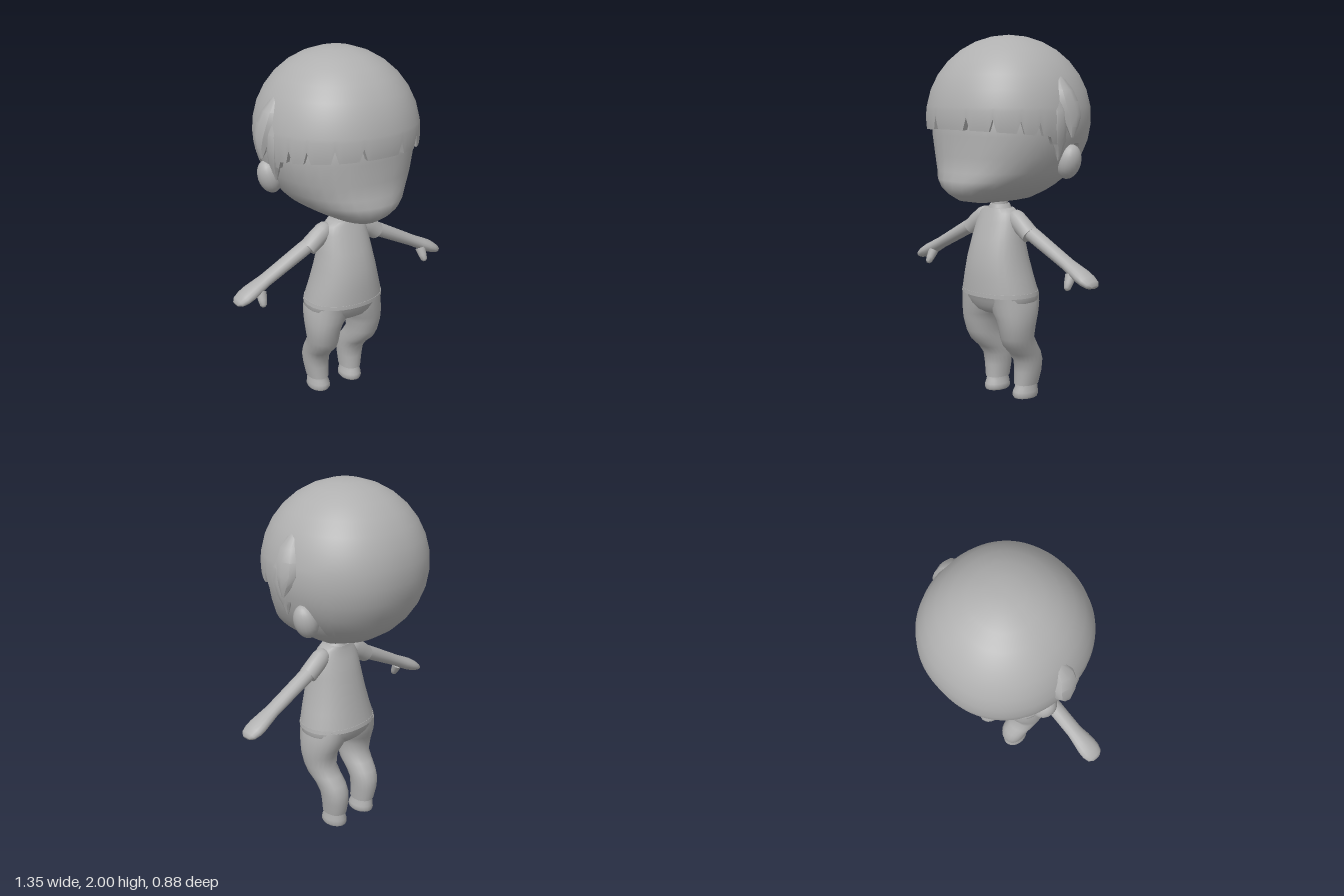
import * as THREE from 'three';
import { toCreasedNormals, mergeVertices } from 'three/addons/utils/BufferGeometryUtils.js';

// signed power: below 1 it squares off a circle slightly
const spow = (v, p) => Math.sign(v) * Math.abs(v) ** p;

// closed skin of rows x seg points, rows running upwards, with a fan at both ends
function skin(rows, seg, point) {
  const pos = [], idx = [];
  for (let i = 0; i < rows; i++)
    for (let j = 0; j < seg; j++) pos.push(...point(i, (j / seg) * Math.PI * 2));
  const at = (i, j) => i * seg + (j % seg);
  for (let i = 0; i < rows - 1; i++)
    for (let j = 0; j < seg; j++) {
      const a = at(i, j), b = at(i, j + 1), c = at(i + 1, j), d = at(i + 1, j + 1);
      idx.push(a, c, b, b, c, d);
    }
  for (const row of [0, rows - 1]) {
    const mid = [0, 0, 0];
    for (let j = 0; j < seg; j++)
      for (let k = 0; k < 3; k++) mid[k] += pos[at(row, j) * 3 + k] / seg;
    const m = pos.length / 3;
    pos.push(...mid);
    for (let j = 0; j < seg; j++) {
      if (row === 0) idx.push(m, at(row, j), at(row, j + 1));
      else idx.push(m, at(row, j + 1), at(row, j));
    }
  }
  const g = new THREE.BufferGeometry();
  g.setAttribute('position', new THREE.Float32BufferAttribute(pos, 3));
  g.setIndex(idx);
  return g;
}

// oval sections [y, x0, x1, z0, z1]
const loft = (secs, seg = 20, p = 1) => skin(secs.length, seg, (i, t) => {
  const [y, x0, x1, z0, z1] = secs[i];
  return [
    (x0 + x1) / 2 + (x1 - x0) / 2 * spow(Math.cos(t), p), y,
    (z0 + z1) / 2 + (z1 - z0) / 2 * spow(Math.sin(t), p),
  ];
});

// limb sections [distance, thickness radius, z radius] laid from a start point downwards and outwards
function limb(secs, x, y, z, angle) {
  const g = loft(secs.map(([d, r, rz]) => [d, -r, r, -rz, rz]), 16);
  return g.rotateZ(angle).translate(x, y, z);
}

function mirrored(geo) {
  const g = geo.clone().scale(-1, 1, 1);
  const a = g.index.array;
  for (let i = 0; i < a.length; i += 3) [a[i], a[i + 1]] = [a[i + 1], a[i]];
  return g;
}

export function createModel() {
  const root = new THREE.Group();
  root.name = 'figure';
  const grey = new THREE.MeshStandardMaterial({ color: 0xb0b0b0 });
  grey.name = 'plain grey';

  const add = (name, geo, crease = 0.9) => {
    const mesh = new THREE.Mesh(toCreasedNormals(geo, crease), grey);
    mesh.name = name;
    root.add(mesh);
  };
  const pair = (name, geo, crease) => {
    add('left' + name, geo, crease);
    add('right' + name, mirrored(geo), crease);
  };

  // head: [y, half width, front z, back z]
  const headRows = [
    [1.107, 0.06, 0.24, 0.03], [1.125, 0.14, 0.345, 0.08], [1.16, 0.205, 0.395, 0.18],
    [1.195, 0.26, 0.42, 0.235], [1.235, 0.302, 0.422, 0.285], [1.28, 0.335, 0.405, 0.33],
    [1.36, 0.372, 0.398, 0.38], [1.47, 0.4, 0.398, 0.415], [1.6, 0.4, 0.395, 0.41], [1.72, 0.33, 0.33, 0.33],
  ];
  add('head', skin(headRows.length, 32, (i, t) => {
    const [y, w, f, b] = headRows[i], s = Math.sin(t), p = s > 0 ? 0.87 : 0.93;
    return [w * spow(Math.cos(t), p), y, (s > 0 ? f : b) * spow(s, p)];
  }), 1.2);

  // hair: a ball cut to a notched fringe in front, open round the ears, full at the back
  const R = 0.442, CY = 1.558, crown = Math.acos((1.62 - CY) / R);
  const hairline = (t) => {
    let a = Math.abs(t - Math.PI / 2);
    if (a > Math.PI) a = Math.PI * 2 - a;
    if (a > 1.35) return 1.43 - 0.3 * THREE.MathUtils.smoothstep(a, 1.8, 2.2);
    const notch = [0.25, 0.57, 0.92, 1.18].some((n) => Math.abs(a - n) < 0.0246);
    return 1.505 - 0.035 * (a / 1.35) ** 2 + (notch ? 0.065 : 0);
  };
  add('hair', skin(16, 128, (i, t) => {
    const low = Math.acos((hairline(t) - CY) / R);
    const phi = i < 8
      ? THREE.MathUtils.lerp(low, crown, Math.max(0, i - 1) / 7)
      : THREE.MathUtils.lerp(crown, 0.01, (i - 8) / 7);
    const r = R * Math.sin(phi) * (i === 0 ? 0.9 : 1);
    return [r * 0.985 * spow(Math.cos(t), 0.93), CY + R * Math.cos(phi), r * spow(Math.sin(t), 0.93)];
  }), 1.0);

  // pointed side locks in front of the ears
  pair('FrontLock', loft([
    [1.345, 0.385, 0.393, 0.026, 0.034], [1.4, 0.37, 0.415, 0.008, 0.055], [1.45, 0.36, 0.432, -0.012, 0.085],
    [1.52, 0.36, 0.445, -0.005, 0.1], [1.6, 0.36, 0.443, 0.0, 0.1], [1.7, 0.35, 0.405, 0.02, 0.08],
  ], 8), 0.7);
  pair('BackLock', loft([
    [1.465, 0.447, 0.457, -0.02, 0.0], [1.52, 0.41, 0.472, -0.055, 0.02], [1.58, 0.39, 0.474, -0.085, 0.045],
    [1.65, 0.37, 0.46, -0.08, 0.06], [1.71, 0.36, 0.435, -0.06, 0.055], [1.78, 0.33, 0.375, -0.03, 0.03],
  ], 8), 0.7);

  // ears
  const ear = new THREE.SphereGeometry(1, 18, 14);
  ear.deleteAttribute('uv');
  pair('Ear', mergeVertices(ear.scale(0.062, 0.095, 0.068).rotateZ(-0.3).translate(0.366, 1.33, -0.083)), 1.2);

  // neck and collar
  add('neck', loft([[1.02, -0.045, 0.045, 0.02, 0.115], [1.14, -0.04, 0.04, 0.025, 0.11]]));
  add('collar', loft([[1.05, -0.075, 0.075, 0.0, 0.138], [1.09, -0.048, 0.048, 0.01, 0.128]]));

  // shirt
  add('shirt', loft([
    [0.6, -0.229, 0.229, -0.112, 0.246], [0.618, -0.226, 0.226, -0.108, 0.246], [0.7, -0.202, 0.202, -0.09, 0.245],
    [0.8, -0.177, 0.177, -0.068, 0.236], [0.9, -0.156, 0.156, -0.046, 0.208], [1.0, -0.138, 0.138, -0.02, 0.17],
    [1.045, -0.12, 0.12, 0.0, 0.15], [1.068, -0.09, 0.09, 0.003, 0.14],
  ], 28, 0.92));
  add('shirtHem', loft([[0.595, -0.231, 0.231, -0.114, 0.248], [0.617, -0.228, 0.228, -0.11, 0.248]], 28, 0.92));

  // sleeves, arms, hands and thumbs
  pair('Sleeve', limb([[-0.05, 0.02, 0.025], [-0.03, 0.044, 0.042], [0, 0.053, 0.05], [0.06, 0.052, 0.051], [0.127, 0.049, 0.052]],
    0.125, 1.012, 0.065, -2.21));
  pair('Arm', limb([
    [-0.08, 0.038, 0.042], [0.05, 0.04, 0.044], [0.2, 0.036, 0.044], [0.31, 0.033, 0.045], [0.37, 0.035, 0.053],
    [0.42, 0.036, 0.06], [0.46, 0.032, 0.06], [0.495, 0.024, 0.05], [0.514, 0.01, 0.027],
  ], 0.215, 0.954, 0.062, -2.045), 1.2);
  pair('Thumb', limb([[0, 0.03, 0.028], [0.045, 0.024, 0.023], [0.072, 0.018, 0.018], [0.083, 0.008, 0.009]], 0, 0, 0, Math.PI)
    .rotateX(-0.5).rotateZ(0.1).translate(0.533, 0.765, 0.088), 1.2);

  // trousers
  add('hips', loft([
    [0.484, -0.05, 0.05, 0.01, 0.12], [0.492, -0.1, 0.1, -0.025, 0.158], [0.51, -0.15, 0.15, -0.058, 0.188],
    [0.54, -0.205, 0.205, -0.083, 0.209], [0.57, -0.224, 0.224, -0.096, 0.22], [0.605, -0.222, 0.222, -0.104, 0.235],
  ], 32, 0.82), 1.4);
  pair('TrouserLeg', loft([
    [0.075, 0.055, 0.172, -0.1, 0.048], [0.15, 0.05, 0.185, -0.116, 0.047], [0.21, 0.047, 0.194, -0.116, 0.052],
    [0.26, 0.047, 0.2, -0.098, 0.088], [0.31, 0.049, 0.21, -0.062, 0.142], [0.36, 0.05, 0.218, -0.028, 0.166],
    [0.43, 0.045, 0.229, -0.036, 0.184], [0.47, 0.032, 0.23, -0.052, 0.194], [0.505, 0.01, 0.229, -0.068, 0.202],
    [0.55, 0.0, 0.224, -0.082, 0.209], [0.6, 0.0, 0.212, -0.09, 0.218],
  ], 20, 0.9), 1.2);

  // shoes
  pair('Shoe', loft([
    [0, 0.055, 0.168, -0.096, 0.054], [0.012, 0.047, 0.174, -0.101, 0.061], [0.035, 0.05, 0.172, -0.1, 0.058],
    [0.055, 0.058, 0.168, -0.097, 0.048], [0.08, 0.062, 0.166, -0.094, 0.042],
  ]));
  return root;
}
